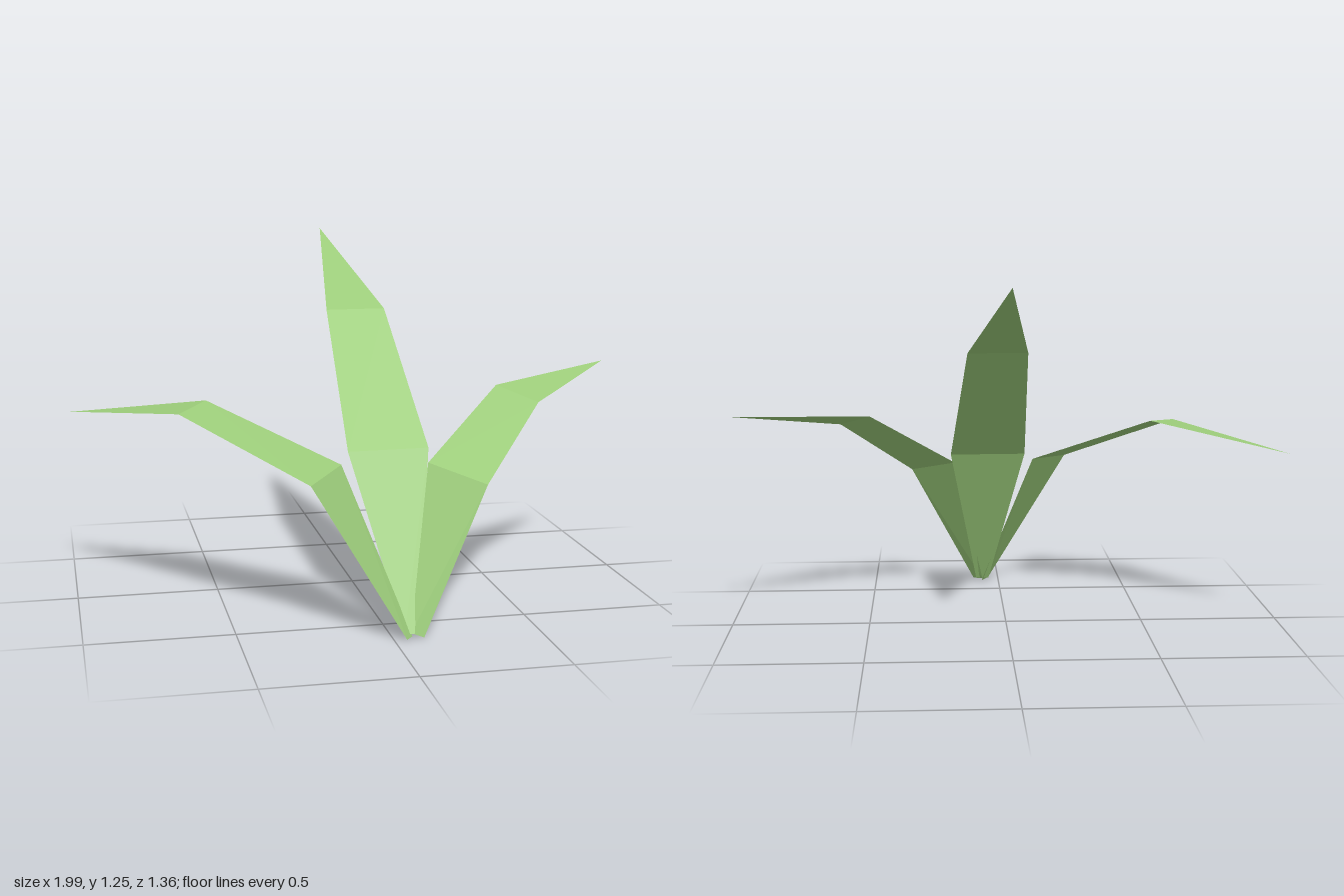
import * as THREE from 'three';

const leafGreen = new THREE.MeshStandardMaterial({ color: 0x9ccc7a, side: THREE.DoubleSide, flatShading: true });
leafGreen.name = 'leafGreen';

// Folded blade: pairs of edge points (left, right seen from above the leaf) from the base up, then a tip
function blade(name, pairs, tip) {
  const points = [...pairs.flat(), tip];
  const index = [];
  for (let i = 0; i < pairs.length - 1; i++) {
    const a = i * 2;
    index.push(a, a + 1, a + 3, a, a + 3, a + 2);
  }
  const last = pairs.length * 2 - 2;
  index.push(last, last + 1, last + 2);
  const geometry = new THREE.BufferGeometry();
  geometry.setAttribute('position', new THREE.Float32BufferAttribute(points.flat(), 3));
  geometry.setIndex(index);
  const flat = geometry.toNonIndexed();
  flat.computeVertexNormals();
  const mesh = new THREE.Mesh(flat, leafGreen);
  mesh.name = name;
  return mesh;
}

export function createModel() {
  const plant = new THREE.Group();
  plant.name = 'plant';

  // Tall blade arching to the back
  plant.add(blade('backLeaf', [
    [[0.04, 0.01, 0.645], [0.09, 0.01, 0.643]],
    [[-0.09, 0.57, 0.355], [0.195, 0.57, 0.345]],
    [[-0.075, 1.0, -0.095], [0.14, 1.0, -0.1]],
  ], [0.012, 1.255, -0.68]));

  // Blade drooping to the model's left
  plant.add(blade('leftLeaf', [
    [[0.065, 0.01, 0.635], [0.1, 0.004, 0.67]],
    [[0.18, 0.53, 0.4], [0.347, 0.48, 0.55]],
    [[0.495, 0.745, 0.15], [0.612, 0.7, 0.277]],
  ], [0.99, 0.78, -0.095]));

  // Longer blade drooping to the model's right
  plant.add(blade('rightLeaf', [
    [[0.04, 0.004, 0.68], [0.068, 0, 0.64]],
    [[-0.267, 0.522, 0.62], [-0.125, 0.54, 0.413]],
    [[-0.655, 0.71, 0.29], [-0.545, 0.725, 0.133]],
  ], [-1, 0.645, -0.175]));

  return plant;
}
